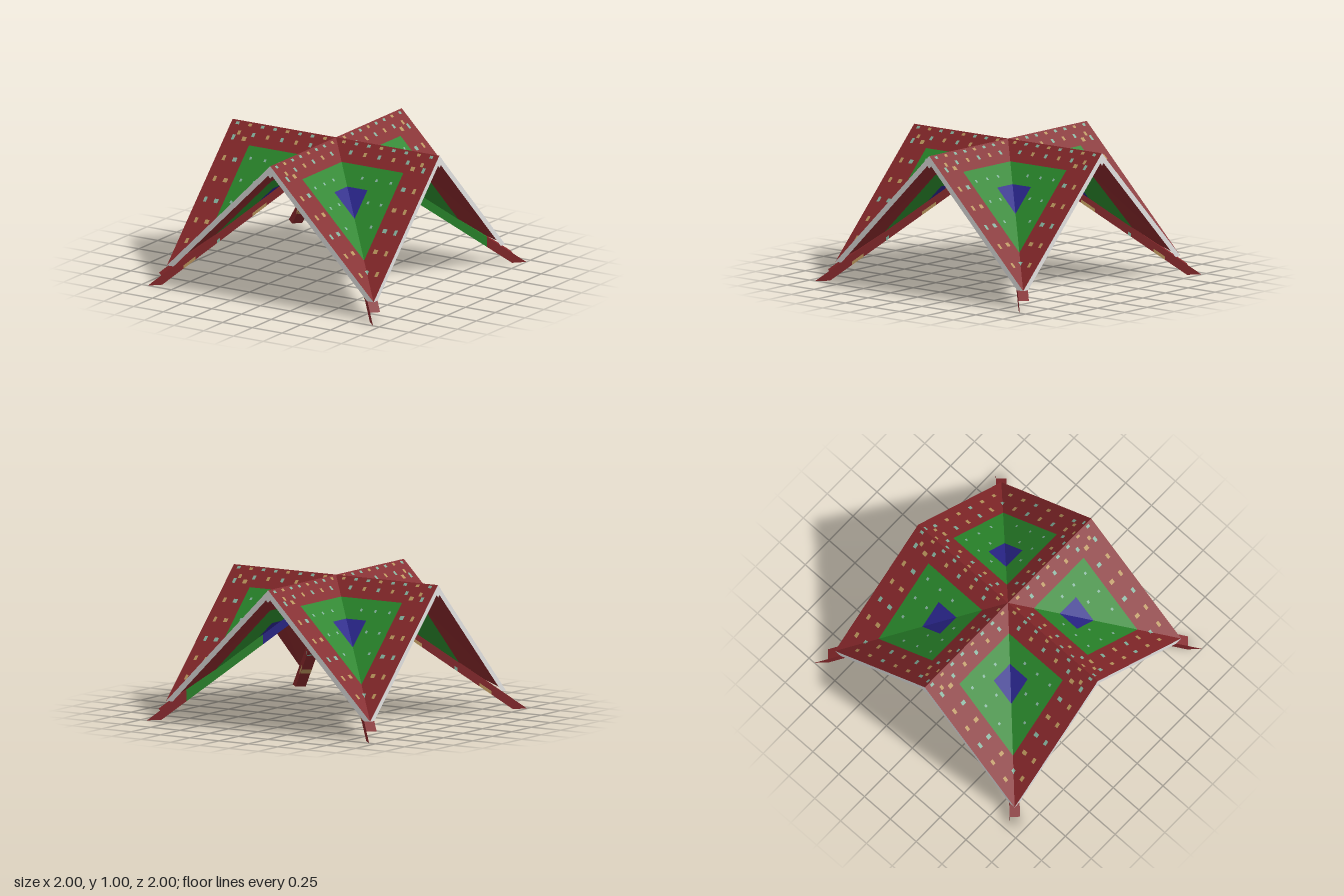
import * as THREE from 'three';
import { mergeGeometries } from 'three/addons/utils/BufferGeometryUtils.js';

const V = (x, y, z) => new THREE.Vector3(x, y, z);
const mat = (name, color) => {
  const m = new THREE.MeshStandardMaterial({ color });
  m.name = name;
  return m;
};

const END = 0.87;    // reach of the roof along each ridge
const THICK = 0.055; // vertical roof thickness
const CAP = 0.045;   // half width of the ridge beam
const HALF = 0.026;  // half width of a leg
const SIDES = [-1, 1];

// Flat polygon: 2D points placed in space by a map, turned to face a direction
function face(points, map, dir) {
  const flat = points.map(p => new THREE.Vector2(p[0], p[1]));
  const pos = [];
  for (const tri of THREE.ShapeUtils.triangulateShape(flat, [])) {
    const [a, b, c] = tri.map(i => map(...points[i]));
    const n = b.clone().sub(a).cross(c.clone().sub(a));
    for (const p of n.dot(dir) < 0 ? [a, c, b] : [a, b, c]) pos.push(p.x, p.y, p.z);
  }
  const g = new THREE.BufferGeometry();
  g.setAttribute('position', new THREE.Float32BufferAttribute(pos, 3));
  g.computeVertexNormals();
  return g;
}

const rect = (u, v, w, h) => [[u - w, v - h], [u + w, v - h], [u + w, v + h], [u - w, v + h]];

export function createModel() {
  const model = new THREE.Group();
  model.name = 'crossGableRoof';
  const mats = {
    red: mat('deep red', 0x84272a),
    green: mat('green', 0x29862b),
    blue: mat('blue', 0x29258a),
    white: mat('white edge', 0xe0dfde),
    tan: mat('tan ornament', 0xb8935a),
    teal: mat('teal ornament', 0x82b09c),
  };
  const add = (parent, name, color, geoms) => {
    const mesh = new THREE.Mesh(mergeGeometries(geoms), mats[color]);
    mesh.name = name;
    parent.add(mesh);
  };

  // Zones of one slope: u runs down from the ridge, v along it
  const zones = {
    red: [[0, 0], [0, END], [END, END], [0.65, 0.65], [0.13, 0.65], [0.13, 0.13]],
    green: [[0.13, 0.13], [0.13, 0.65], [0.65, 0.65], [0.43, 0.43], [0.26, 0.43], [0.26, 0.26]],
    blue: [[0.26, 0.26], [0.26, 0.43], [0.43, 0.43]],
  };

  // Ornament spots on one slope: [u, v, half width, half length]
  const spots = { tan: [], teal: [] };
  for (let i = 0; i < 6; i++) {
    const u = 0.1 + i * 0.123;
    spots[i % 2 ? 'teal' : 'tan'].push([u, 0.71, 0.012, 0.017]);
    spots[i % 3 ? 'tan' : 'teal'].push([u, 0.8, 0.015, 0.012]);
    spots[i % 2 ? 'tan' : 'teal'].push([0.07, 0.17 + i * 0.12, 0.012, 0.012]);
  }
  for (let i = 0; i < 8; i++) {
    spots[i % 3 ? 'teal' : 'tan'].push([0.018, 0.08 + i * 0.105, 0.008, 0.014]);
  }
  for (const [u, v] of [[0.2, 0.35], [0.2, 0.47], [0.2, 0.59], [0.33, 0.59], [0.33, 0.48], [0.46, 0.59]]) {
    spots.teal.push([u, v, 0.008, 0.009]);
  }

  // Eight slopes around the crossing ridges
  const roof = new THREE.Group();
  roof.name = 'roof';
  model.add(roof);
  const parts = { red: [], green: [], blue: [], white: [], tan: [], teal: [] };
  for (const sx of SIDES) for (const sz of SIDES) for (const swap of [false, true]) {
    const place = (u, y, v) => (swap ? V(sx * v, y, sz * u) : V(sx * u, y, sz * v));
    const upper = (u, v) => place(u, 1 - u, v);
    const lower = (u, v) => place(u, Math.max(1 - u - THICK, 1 - END), v);
    const lifted = (u, v) => place(u + 0.002, 1.002 - u, v);
    for (const color in zones) {
      parts[color].push(face(zones[color], upper, V(0, 1, 0)), face(zones[color], lower, V(0, -1, 0)));
    }
    // White gable edge
    const edge = [[0, 1], [END, 1 - END], [END - THICK, 1 - END], [0, 1 - THICK]];
    parts.white.push(face(edge, (u, y) => place(u, y, END), place(0, 0, 1)));
    for (const color in spots) {
      for (const s of spots[color]) parts[color].push(face(rect(...s), lifted, V(0, 1, 0)));
    }
  }
  const names = {
    red: 'roofBorder', green: 'roofField', blue: 'roofCentre',
    white: 'gableEdge', tan: 'tanSpots', teal: 'tealSpots',
  };
  for (const color in parts) add(roof, names[color], color, parts[color]);

  // Ridge beams, square and set on edge, with white ends
  const ridges = [], ridgeEnds = [];
  const diamond = [[0, 1], [CAP, 1 - CAP], [0, 1 - 2 * CAP], [-CAP, 1 - CAP]];
  for (const turned of [false, true]) {
    const place = (a, y, l) => (turned ? V(l, y, a) : V(a, y, l));
    for (const s of SIDES) {
      ridgeEnds.push(face(diamond, (a, y) => place(a, y, s * (END + 0.002)), place(0, 0, s)));
      ridges.push(face([[0, -END], [CAP, -END], [CAP, END], [0, END]],
        (a, l) => place(s * a, 1 - 2 * CAP + a, l), V(0, -1, 0)));
    }
  }
  add(model, 'ridgeBeams', 'red', ridges);
  add(model, 'ridgeEnds', 'white', ridgeEnds);

  // Sloping legs under the valleys; d is the plan distance on x and z
  const TOP = 1 - HALF, BOTTOM = 0.9;
  for (const sx of SIDES) for (const sz of SIDES) {
    const leg = new THREE.Group();
    leg.name = 'leg';
    model.add(leg);
    const place = (d, y, a) => V(sx * (d + a), y, sz * (d - a));
    const painted = sx > 0 && sz < 0;
    const spans = painted
      ? [['blue', 0, 0.38], ['green', 0.38, 0.77], ['red', 0.77, 1]]
      : [['red', 0, 1]];
    for (const [color, d0, d1] of spans) {
      const t1 = Math.min(d1, TOP), b1 = Math.min(d1, BOTTOM), p1 = Math.min(d1, 0.905);
      const geoms = [
        face([[d0, -HALF], [p1, -HALF], [p1, HALF], [d0, HALF]], (d, a) => place(d, TOP - d, a), V(0, 1, 0)),
        face([[d0, -HALF], [b1, -HALF], [b1, HALF], [d0, HALF]], (d, a) => place(d, BOTTOM - d, a), V(0, -1, 0)),
      ];
      for (const s of SIDES) {
        const side = [[d0, TOP - d0], [t1, TOP - t1], [b1, BOTTOM - b1], [d0, BOTTOM - d0]];
        geoms.push(face(side, (d, y) => place(d, y, s * HALF), place(0, 0, s)));
      }
      add(leg, color + 'Beam', color, geoms);
    }
    if (painted) continue;
    // Bands wrapped on the sides and bottom
    const bands = { tan: [[0.2, 0.03], [0.4, 0.035], [0.76, 0.03]], teal: [[0.25, 0.008], [0.61, 0.008]] };
    for (const color in bands) {
      const geoms = [];
      for (const [d, w] of bands[color]) {
        geoms.push(face(rect(d, 0, w * 0.6, HALF), (e, a) => place(e, BOTTOM - 0.002 - e, a), V(0, -1, 0)));
        for (const s of SIDES) {
          const mark = [[d - w, BOTTOM - d + w], [d + w, BOTTOM - d - w],
            [d + w, BOTTOM - d - w + 0.025], [d - w, BOTTOM - d + w + 0.025]];
          geoms.push(face(mark, (e, y) => place(e, y, s * (HALF + 0.002)), place(0, 0, s)));
        }
      }
      add(leg, color + 'Bands', color, geoms);
    }
  }

  // Short hub post where the legs meet, with tan strips
  add(model, 'hubPost', 'red', [new THREE.BoxGeometry(0.06, 0.1, 0.06).translate(0, 0.89, 0)]);
  add(model, 'hubStrips', 'tan', [
    new THREE.BoxGeometry(0.02, 0.08, 0.066).translate(-0.012, 0.89, 0),
    new THREE.BoxGeometry(0.066, 0.08, 0.02).translate(0, 0.89, 0.012),
  ]);
  return model;
}
